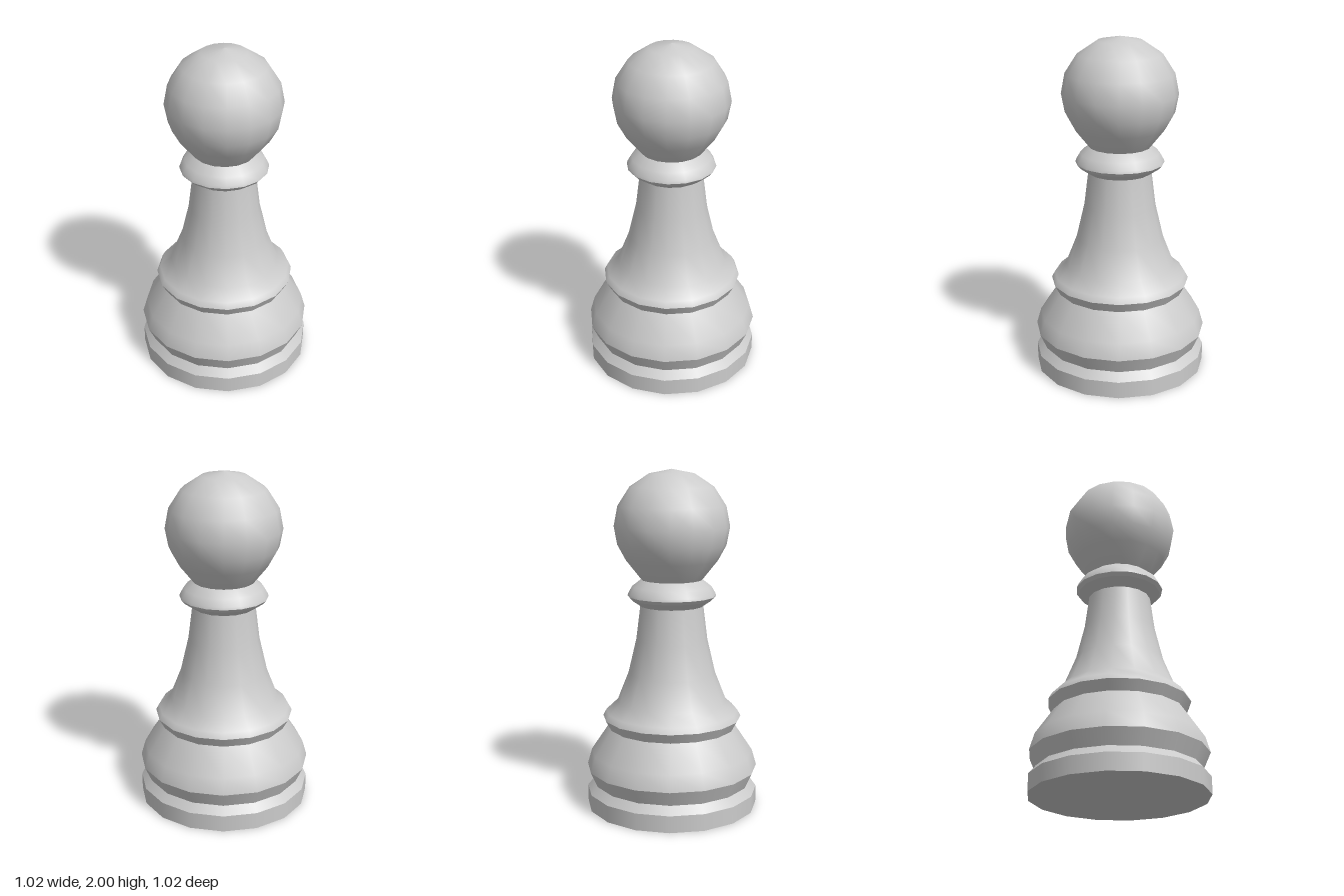
import * as THREE from 'three';

const SIDES = 16;
const material = new THREE.MeshStandardMaterial({ color: 0xcccccc });

// Each band is a [radius, height] profile, bottom to top; it is smooth
// inside, and the joints between bands stay sharp.
const parts = {
  base: [
    [[0, 0], [0.51, 0]],
    [[0.51, 0], [0.51, 0.1]],
    [[0.51, 0.1], [0.47, 0.147]],
  ],
  foot: [
    [[0.47, 0.147], [0.51, 0.237]],
    [[0.51, 0.237], [0.483, 0.33], [0.38, 0.483]],
  ],
  skirtRim: [[[0.38, 0.483], [0.412, 0.542]]],
  stem: [[[0.412, 0.542], [0.393, 0.577], [0.325, 0.637], [0.257, 0.81], [0.21, 1.01], [0.185, 1.21]]],
  collar: [
    [[0.185, 1.21], [0.243, 1.25]],
    [[0.243, 1.25], [0.26, 1.27]],
    [[0.26, 1.27], [0.255, 1.285], [0.232, 1.325], [0.18, 1.365]],
  ],
  head: [[[0.18, 1.365], [0.268, 1.475], [0.317, 1.565], [0.337, 1.672],
    [0.314, 1.79], [0.243, 1.9], [0.13, 1.975], [0, 2]]],
};

export function createModel() {
  const model = new THREE.Group();
  model.name = 'pawn';
  for (const [name, bands] of Object.entries(parts)) {
    const group = new THREE.Group();
    group.name = name;
    bands.forEach((profile, i) => {
      const points = profile.map(([r, y]) => new THREE.Vector2(r, y));
      const mesh = new THREE.Mesh(new THREE.LatheGeometry(points, SIDES), material);
      mesh.name = `${name}Band${i + 1}`;
      group.add(mesh);
    });
    model.add(group);
  }
  return model;
}
